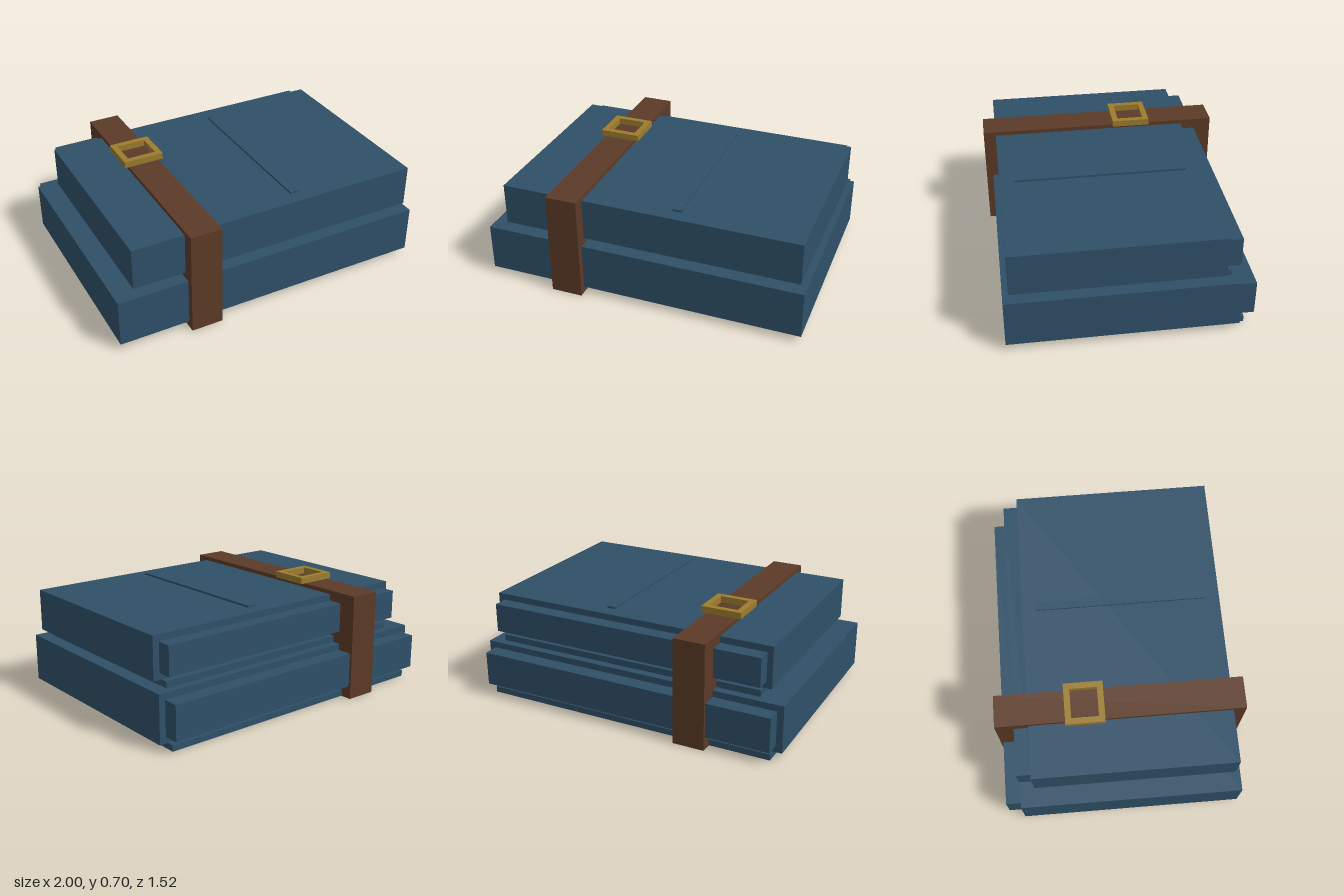
import * as THREE from 'three';

const blue = new THREE.MeshStandardMaterial({ color: 0x2f5068 });
blue.name = 'blue cloth';
const brown = new THREE.MeshStandardMaterial({ color: 0x5c3a26 });
brown.name = 'brown leather';
const gold = new THREE.MeshStandardMaterial({ color: 0x9c7c2e });
gold.name = 'brass';

// Box given by its [min, max] range on each axis
function block(name, material, [x0, x1], [y0, y1], [z0, z1]) {
  const mesh = new THREE.Mesh(new THREE.BoxGeometry(x1 - x0, y1 - y0, z1 - z0), material);
  mesh.position.set((x0 + x1) / 2, (y0 + y1) / 2, (z0 + z1) / 2);
  mesh.name = name;
  return mesh;
}

// One bundle: a recessed base, the main body and a bar along the back
function bundle(name, base, body, bar) {
  const group = new THREE.Group();
  group.name = name;
  group.add(
    block('base', blue, ...base),
    block('body', blue, ...body),
    block('backBar', blue, ...bar)
  );
  return group;
}

// Square frame with a rectangular opening, lying flat on the strap
function buckle() {
  const [w, d, rim, h] = [0.255, 0.24, 0.037, 0.04];
  const rect = (Target, a, b) => new Target([
    new THREE.Vector2(-a, -b), new THREE.Vector2(a, -b),
    new THREE.Vector2(a, b), new THREE.Vector2(-a, b)
  ]);
  const shape = rect(THREE.Shape, w / 2, d / 2);
  shape.holes.push(rect(THREE.Path, w / 2 - rim, d / 2 - rim));
  const geometry = new THREE.ExtrudeGeometry(shape, { depth: h, bevelEnabled: false });
  geometry.rotateX(-Math.PI / 2);
  const mesh = new THREE.Mesh(geometry, gold);
  mesh.position.set(-0.467, 0.66, -0.215);
  mesh.name = 'buckle';
  return mesh;
}

export function createModel() {
  const model = new THREE.Group();
  model.name = 'strappedBundles';
  model.add(
    bundle('lowerBundle',
      [[-0.945, 0.945], [0.002, 0.04], [-0.69, 0.665]],
      [[-1, 1], [0.04, 0.335], [-0.65, 0.715]],
      [[-0.96, 0.96], [0.08, 0.295], [-0.745, -0.65]]),
    bundle('upperBundle',
      [[-0.84, 0.915], [0.335, 0.375], [-0.6, 0.625]],
      [[-0.89, 0.97], [0.375, 0.635], [-0.56, 0.68]],
      [[-0.855, 0.93], [0.415, 0.595], [-0.65, -0.56]]),
    // Narrow ridge on the lid
    block('ridge', blue, [0.17, 0.225], [0.635, 0.648], [-0.47, 0.595]),
    // Strap running right around both bundles
    block('strap', brown, [-0.567, -0.37], [0, 0.66], [-0.76, 0.757]),
    buckle()
  );
  return model;
}
